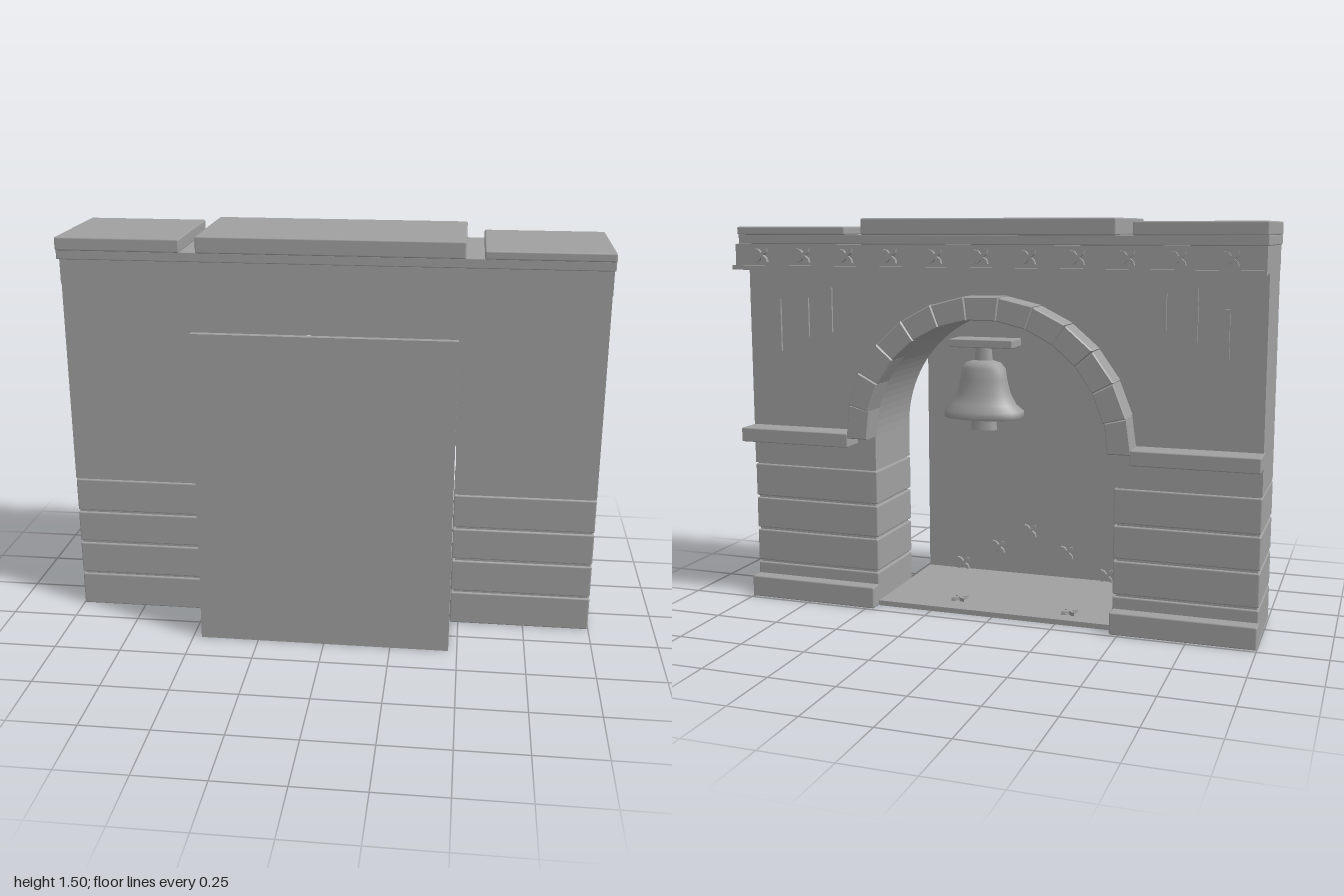
import * as THREE from 'three';
import { RoundedBoxGeometry } from 'three/addons/geometries/RoundedBoxGeometry.js';

export function createModel() {
  const root = new THREE.Group();
  const stone = new THREE.MeshStandardMaterial({ color: 0xa0a0a0 });
  stone.name = 'stoneGrey';

  const add = (name, geometry) => {
    const mesh = new THREE.Mesh(geometry, stone);
    mesh.name = name;
    root.add(mesh);
    return mesh;
  };
  // Box given by its minimum and maximum on each axis; r rounds the edges
  const block = (name, x0, x1, y0, y1, z0, z1, r = 0) => {
    const size = [x1 - x0, y1 - y0, z1 - z0];
    const geo = r ? new RoundedBoxGeometry(...size, 1, r) : new THREE.BoxGeometry(...size);
    const mesh = add(name, geo);
    mesh.position.set((x0 + x1) / 2, (y0 + y1) / 2, (z0 + z1) / 2);
    return mesh;
  };

  const FRONT = 0.14, BACK = -0.19, HALF = 0.472, SPRING = 0.675;

  // Wall with the arched opening
  const wall = new THREE.Shape();
  wall.moveTo(-0.997, 0.54);
  wall.lineTo(-HALF, 0.54);
  wall.lineTo(-HALF, SPRING);
  wall.absarc(0, SPRING, HALF, Math.PI, 0, true);
  wall.lineTo(HALF, 0.54);
  wall.lineTo(0.997, 0.54);
  wall.lineTo(0.997, 1.315);
  wall.lineTo(-0.997, 1.315);
  const wallGeo = new THREE.ExtrudeGeometry(wall, { depth: FRONT - BACK, bevelEnabled: false, curveSegments: 26 });
  add('archedWall', wallGeo).position.z = BACK;

  // Piers: stacked stones on a recessed core, with base and impost at the back
  for (const s of [-1, 1]) {
    const span = (a, b) => (s > 0 ? [a, b] : [-b, -a]);
    block('pierCore', ...span(HALF + 0.008, 0.99), 0.01, 0.56, BACK + 0.008, FRONT - 0.008);
    [[0, 0.131], [0.139, 0.265], [0.274, 0.397], [0.405, 0.535]].forEach(([y0, y1]) =>
      block('pierStone', ...span(HALF - 0.004, 0.998), y0, y1, BACK, FRONT, 0.006));
    block('pierBase', ...span(HALF - 0.004, 1), 0, 0.085, -0.24, BACK + 0.03, 0.006);
    block('impost', ...span(0.545, 1), 0.64, 0.695, -0.285, BACK + 0.03, 0.005);
  }

  // Ring of wedge stones around the arch
  const COUNT = 13, step = Math.PI / COUNT, gap = 0.009;
  for (let i = 0; i < COUNT; i++) {
    const a0 = i * step + gap, a1 = (i + 1) * step - gap;
    const corner = (r, a) => new THREE.Vector2(Math.cos(a) * r, Math.sin(a) * r);
    const wedge = new THREE.Shape([corner(0.468, a0), corner(0.545, a0), corner(0.547, a1), corner(0.468, a1)]);
    const depth = i === 0 || i === COUNT - 1 ? 0.085 : 0.1;
    const geo = new THREE.ExtrudeGeometry(wedge, {
      depth, bevelEnabled: true, bevelSize: 0.004, bevelThickness: 0.005, bevelSegments: 1 });
    add('archStone', geo).position.set(0, SPRING, BACK - depth - 0.005);
  }

  // Frieze, its lower lip, and the coping
  block('frieze', -0.998, 0.998, 1.312, 1.405, -0.285, 0.144);
  block('friezeLip', -1, 1, 1.308, 1.325, -0.31, -0.28);
  block('copingLedge', -1, 1, 1.405, 1.441, -0.26, 0.173, 0.004);
  block('copingStoneRight', -1, -0.54, 1.439, 1.488, -0.27, 0.184, 0.006);
  block('copingStoneMiddle', -0.482, 0.482, 1.439, 1.5, -0.27, 0.184, 0.006);
  block('copingStoneLeft', 0.547, 1, 1.439, 1.47, -0.27, 0.184, 0.006);

  // Small four-petalled ornaments
  const star = new THREE.Shape();
  for (let i = 0; i < 16; i++) {
    const r = [0.036, 0.024, 0.009, 0.024][i % 4];
    const a = Math.PI / 4 + (i * Math.PI) / 8 + [0, -0.08, 0, 0.08][i % 4];
    star[i ? 'lineTo' : 'moveTo'](Math.cos(a) * r, Math.sin(a) * r);
  }
  const starGeo = new THREE.ExtrudeGeometry(star, { depth: 0.016, bevelEnabled: false });
  for (let i = -5; i <= 5; i++) add('friezeOrnament', starGeo).position.set(i * 0.1765, 1.363, -0.3);
  [[-0.32, 0.045], [-0.15, 0.13], [0.01, 0.21], [0.15, 0.13], [0.31, 0.045]].forEach(([x, y]) =>
    add('panelOrnament', starGeo).position.set(x, y, 0.326));
  [[0.17, -0.08], [-0.285, -0.11]].forEach(([x, z]) => {
    const flat = add('floorOrnament', starGeo);
    flat.position.set(x, 0.018, z);
    flat.rotation.x = -Math.PI / 2;
  });

  // Thin vertical bars on the back wall
  [[0.87, 0.99, 1.19], [0.75, 1.05, 1.2], [0.65, 1.07, 1.24],
    [-0.64, 1.11, 1.24], [-0.75, 1.06, 1.26], [-0.86, 1.01, 1.19]].forEach(([x, y0, y1]) =>
    block('wallBar', x - 0.009, x + 0.009, y0, y1, BACK - 0.009, BACK + 0.005));

  // Panel in front of the opening, and the floor
  block('frontPanel', -0.468, 0.468, 0, 1.19, 0.34, 0.365);
  block('floor', -0.468, 0.468, 0, 0.02, BACK, 0.345);

  // Hanging bell, narrower front to back
  const bell = new THREE.Group();
  bell.name = 'bell';
  const bellPart = (name, geo, y) => {
    const mesh = new THREE.Mesh(geo, stone);
    mesh.name = name;
    mesh.position.y = y;
    bell.add(mesh);
  };
  const profile = [[0.001, 0.93], [0.118, 0.815], [0.132, 0.785], [0.15, 0.785], [0.15, 0.812], [0.122, 0.835],
    [0.1, 0.875], [0.088, 0.925], [0.082, 0.965], [0.065, 0.985], [0.03, 0.995], [0.001, 0.997]];
  bellPart('bellBody', new THREE.LatheGeometry(profile.map(([x, y]) => new THREE.Vector2(x, y)), 32), 0);
  bellPart('bellNeck', new THREE.CylinderGeometry(0.028, 0.035, 0.06, 20), 1.02);
  bellPart('clapperRod', new THREE.CylinderGeometry(0.014, 0.014, 0.16, 12), 0.85);
  bellPart('clapper', new THREE.CylinderGeometry(0.045, 0.05, 0.05, 20), 0.765);
  bell.scale.z = 0.63;
  bell.position.z = -0.27;
  root.add(bell);
  block('bellYoke', -0.12, 0.12, 1.04, 1.07, -0.308, -0.2, 0.004);

  return root;
}
